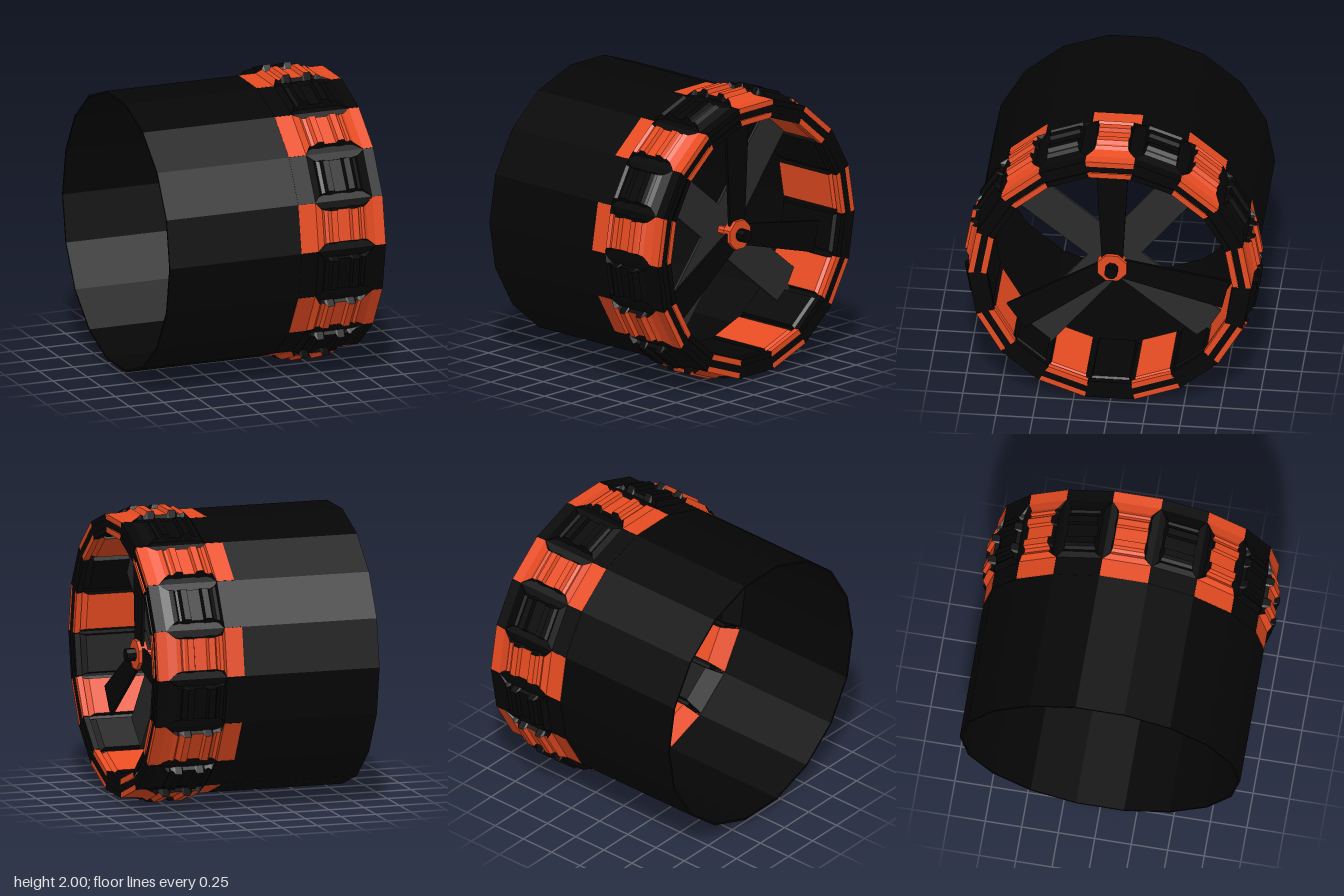
import * as THREE from 'three';

const SIDES = 18;
const STEP = (Math.PI * 2) / SIDES;
const mat = (color) => new THREE.MeshStandardMaterial({ color, flatShading: true, side: THREE.DoubleSide });

// Open-ended 18-sided ring along x, with flats at top and bottom; radii are given to the flats
function ring(x0, x1, inner, outer) {
  const k = 1 / Math.cos(STEP / 2);
  const pts = [[inner, x0], [outer, x0], [outer, x1], [inner, x1], [inner, x0]]
    .map(([r, x]) => new THREE.Vector2(r * k, x));
  return new THREE.LatheGeometry(pts, SIDES).rotateZ(-Math.PI / 2);
}

// Pad lofted along x from stations [x, height, half width], standing on a flat base.
// Group 0 is the ribbed face with its ends, group 1 the two flanks.
function pad(stations, base) {
  const limit = base * Math.tan(STEP / 2);
  const inward = stations[0][1] < base;
  const face = [], flanks = [];
  const quad = (list, a, b, c, d) => {
    const order = inward ? [a, c, b, a, d, c] : [a, b, c, a, c, d];
    order.forEach((p) => list.push(...p));
  };
  const sections = stations.map(([x, h, w]) => {
    const foot = Math.min(limit, w + Math.abs(h - base) * 0.25);
    return [[x, base, foot], [x, h, w], [x, h, -w], [x, base, -foot]];
  });
  for (let i = 0; i < sections.length - 1; i++) {
    const s = sections[i], t = sections[i + 1];
    for (let j = 0; j < 3; j++) quad(j === 1 ? face : flanks, s[j], t[j], t[j + 1], s[j + 1]);
  }
  const first = sections[0], last = sections[sections.length - 1];
  quad(face, ...first);
  quad(face, last[3], last[2], last[1], last[0]);
  const geo = new THREE.BufferGeometry();
  geo.setAttribute('position', new THREE.Float32BufferAttribute([...face, ...flanks], 3));
  geo.addGroup(0, face.length / 3, 0);
  geo.addGroup(face.length / 3, flanks.length / 3, 1);
  geo.computeVertexNormals();
  return geo;
}

// Thin tapered blade pointing up, facing x
function bladeGeometry(r0, r1, w0, w1, thick) {
  const shape = new THREE.Shape([[-w0, r0], [w0, r0], [w1, r1], [-w1, r1]].map((p) => new THREE.Vector2(...p)));
  return new THREE.ExtrudeGeometry(shape, { depth: thick, bevelEnabled: false })
    .translate(0, 0, -thick / 2).rotateY(Math.PI / 2);
}

export function createModel() {
  const model = new THREE.Group();
  const wheel = new THREE.Group();
  wheel.name = 'ductedFan';
  wheel.position.y = 1;
  model.add(wheel);

  const black = mat(0x050505), grey = mat(0x2b2b2b), orange = mat(0xe84c22);

  const add = (name, geo, material, angle = 0, parent = wheel) => {
    const mesh = new THREE.Mesh(geo, material);
    mesh.name = name;
    mesh.rotation.x = angle;
    parent.add(mesh);
  };

  // Duct and the core of the thick front rim
  add('duct', ring(-0.79, 0.78, 0.932, 0.946), black);
  add('rimCore', ring(0.23, 0.778, 0.862, 0.935), black);

  // Ribbed outer tread pad with a narrow waist
  const tread = pad([
    [0.17, 0.948, 0.166], [0.295, 0.948, 0.166], [0.325, 0.985, 0.12], [0.345, 0.968, 0.116],
    [0.37, 0.975, 0.11], [0.385, 1.0, 0.108], [0.43, 1.0, 0.108], [0.44, 0.972, 0.11],
    [0.525, 0.972, 0.11], [0.535, 1.0, 0.108], [0.58, 1.0, 0.108], [0.595, 0.975, 0.11],
    [0.61, 0.968, 0.11], [0.625, 0.985, 0.11], [0.65, 0.965, 0.118], [0.71, 0.948, 0.166],
    [0.785, 0.948, 0.166],
  ], 0.91);

  // Inner panel sloping up from the duct wall, and the lip at the front
  const liner = pad([[0.15, 0.93, 0.155], [0.24, 0.83, 0.125], [0.7, 0.83, 0.125], [0.735, 0.858, 0.14]], 0.934);
  const lip = pad([[0.745, 0.822, 0.143], [0.785, 0.822, 0.143]], 0.862);

  // Alternating pads around the rim, outside and inside
  for (let i = 0; i < SIDES; i++) {
    const colors = [i % 2 ? black : orange, black];
    add('treadPad', tread, colors, i * STEP);
    add('innerLiner', liner, colors, i * STEP);
    add('innerLip', lip, colors, i * STEP);
  }

  // Flat cross struts holding the fan
  const rad = THREE.MathUtils.degToRad;
  for (const a of [51, 141]) {
    add('crossStrut', new THREE.BoxGeometry(0.02, 1.77, 0.26).translate(0.44, 0, 0), grey, rad(a));
  }

  // Three-bladed fan
  const fan = new THREE.Group();
  fan.name = 'fan';
  wheel.add(fan);
  const blade = bladeGeometry(0.02, 0.79, 0.07, 0.11, 0.02).translate(0.6, 0, 0);
  for (const a of [0, -103, 124]) add('fanBlade', blade, black, rad(a), fan);

  // Hub, axle and front cap along x
  const rod = (name, r, x0, x1, material) => add(name,
    new THREE.CylinderGeometry(r, r, x1 - x0, 8).rotateY(Math.PI / 8)
      .rotateZ(-Math.PI / 2).translate((x0 + x1) / 2, 0, 0), material, 0, fan);
  rod('hub', 0.107, 0.57, 0.635, orange);
  rod('axle', 0.03, 0.43, 0.58, orange);
  rod('shaftCap', 0.045, 0.6, 0.7, black);

  return model;
}
